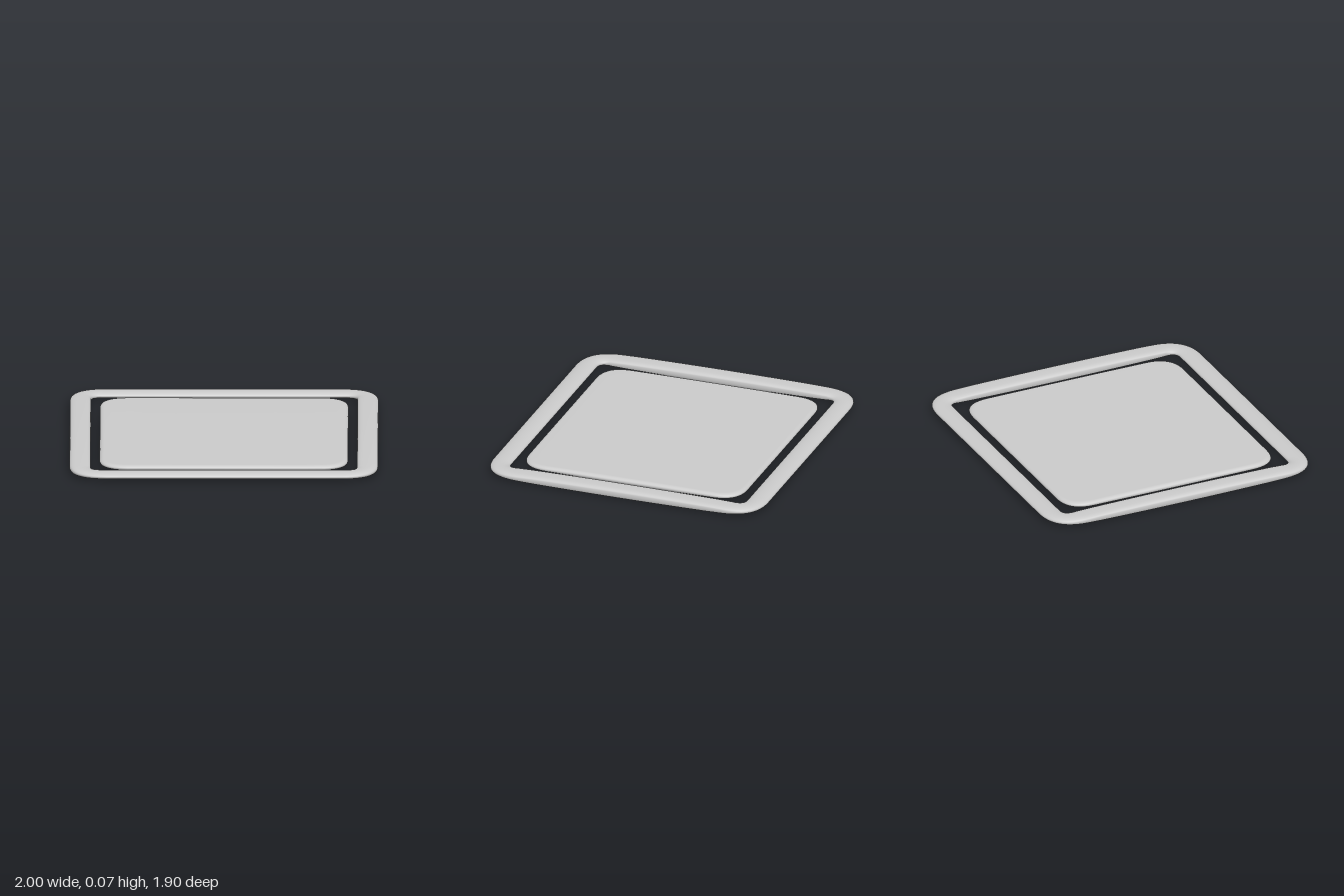
import * as THREE from 'three';

const MID = 0.033; // height of the horizontal centre plane
const CORNER_STEPS = 12;
const SIDE_STEPS = 14;

// Closed rectangle outline in x/z with soft corners of extent r
function outline(w, d, r) {
  const corners = [[w, d], [-w, d], [-w, -d], [w, -d]].map(([x, z]) => new THREE.Vector2(x, z));
  const toward = (a, b) => a.clone().add(b.clone().sub(a).setLength(r));
  const points = [];
  corners.forEach((c, k) => {
    const next = corners[(k + 1) % 4];
    const bend = new THREE.QuadraticBezierCurve(toward(c, corners[(k + 3) % 4]), c, toward(c, next));
    const side = new THREE.LineCurve(toward(c, next), toward(next, c));
    points.push(...bend.getPoints(CORNER_STEPS).slice(0, -1), ...side.getPoints(SIDE_STEPS).slice(0, -1));
  });
  return points;
}

// Smooth skin over a list of equal-length rings of Vector3
function loft(rings, wrap) {
  const n = rings[0].length, m = rings.length, index = [];
  for (let j = 0; j < (wrap ? m : m - 1); j++) {
    for (let i = 0; i < n; i++) {
      const a = j * n + i, b = j * n + (i + 1) % n;
      const c = ((j + 1) % m) * n + i, d = ((j + 1) % m) * n + (i + 1) % n;
      index.push(a, c, b, b, c, d);
    }
  }
  const geometry = new THREE.BufferGeometry().setFromPoints(rings.flat());
  geometry.setIndex(index);
  geometry.computeVertexNormals();
  return geometry;
}

const power = (v, e) => Math.sign(v) * Math.pow(Math.abs(v), e);

// Frame: rounded cross-section, thickest half way along the two sides
function frameGeometry() {
  const outer = outline(1, 0.95, 0.24), inner = outline(0.863, 0.815, 0.07);
  const rings = [], steps = 28;
  for (let j = 0; j < steps; j++) {
    const a = (j / steps) * Math.PI * 2;
    rings.push(outer.map((o, i) => {
      const centre = o.clone().add(inner[i]).multiplyScalar(0.5);
      const half = o.clone().sub(inner[i]).multiplyScalar(0.5);
      const height = MID - 0.011 * (centre.y / 0.88) ** 2;
      // side bars are boxier, front and back bars are elliptical
      const e = THREE.MathUtils.lerp(0.6, 0.95, THREE.MathUtils.smoothstep(Math.abs(centre.y), 0.65, 0.88));
      const p = centre.addScaledVector(half, power(Math.cos(a), e));
      return new THREE.Vector3(p.x, MID + height * power(Math.sin(a), e), p.y);
    }));
  }
  return loft(rings, true);
}

// Panel: thin, slightly domed slab with a rounded rim
function panelGeometry() {
  const w = 0.805, d = 0.757, rim = 0.03, rings = [];
  const ring = (points, scale, level) => rings.push(points.map((p) => {
    const z = p.y * scale;
    const height = 0.021 - 0.004 * (z / d) ** 2;
    return new THREE.Vector3(p.x * scale, MID + height * level, z);
  }));
  const inset = outline(w - rim, d - rim, 0.17);
  const scales = [0, 0.25, 0.5, 0.75, 0.94];
  scales.forEach((s) => ring(inset, s, -1));
  for (let j = 0; j <= 12; j++) {
    const a = (j / 12 - 0.5) * Math.PI;
    const cut = rim * (1 - Math.cos(a));
    ring(outline(w - cut, d - cut, 0.18 - cut / 3), 1, Math.sin(a));
  }
  scales.reverse().forEach((s) => ring(inset, s, 1));
  return loft(rings, false);
}

export function createModel() {
  const group = new THREE.Group();
  const material = new THREE.MeshStandardMaterial({ color: 0xcccccc });
  const add = (name, geometry) => {
    const mesh = new THREE.Mesh(geometry, material);
    mesh.name = name;
    group.add(mesh);
  };
  add('frame', frameGeometry());
  add('panel', panelGeometry());
  return group;
}
